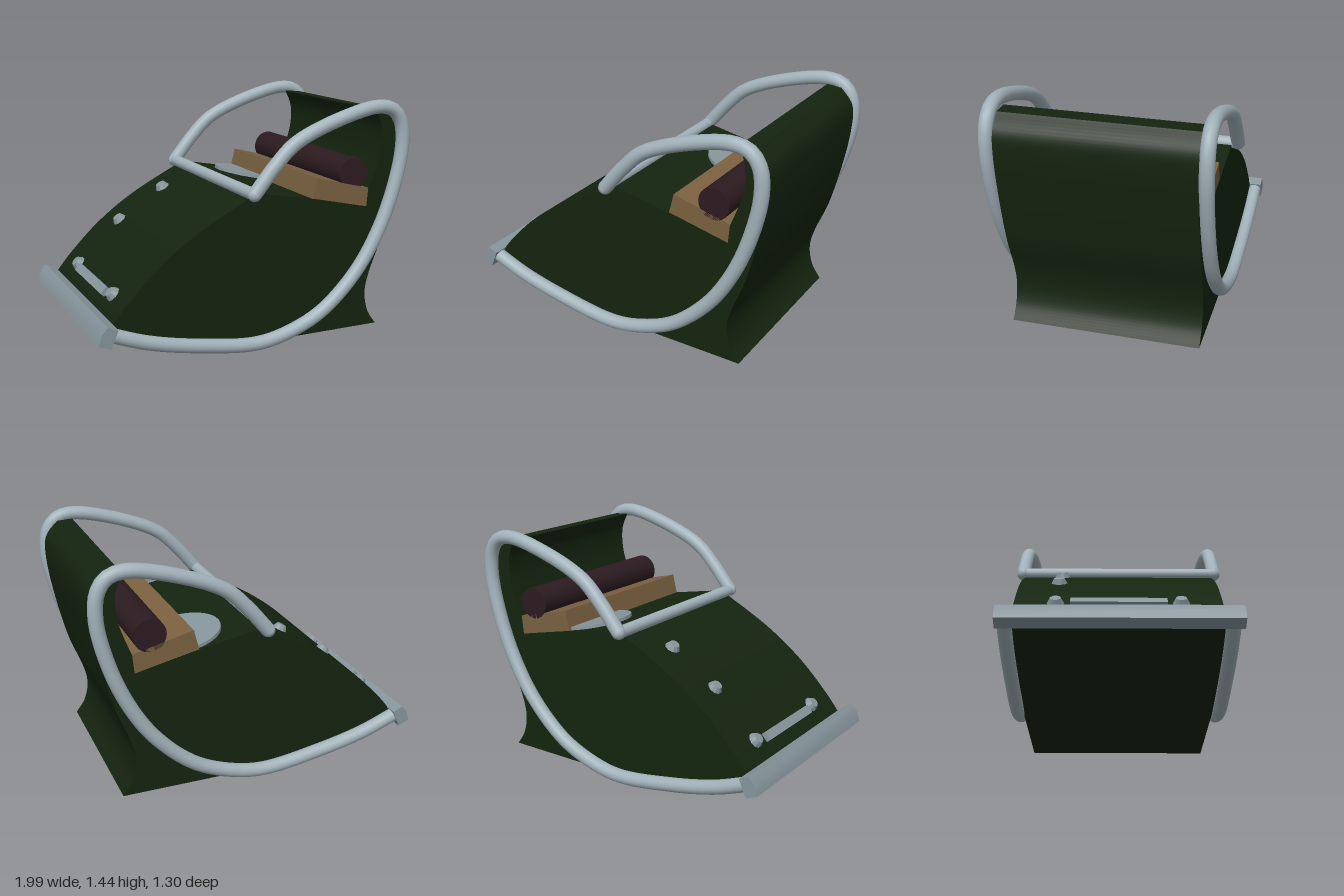
import * as THREE from 'three';
import { toCreasedNormals } from 'three/addons/utils/BufferGeometryUtils.js';

const paint = (color) => new THREE.MeshStandardMaterial({ color });
const green = paint(0x14240f), steel = paint(0xa2b2ba), plate = paint(0x87969d);
const wood = paint(0x7a6140), maroon = paint(0x2c1b20);

// z limits of the body and the two side rails
const BACK = -0.575, FRONT = 0.55, RAIL_BACK = -0.61, RAIL_FRONT = 0.592;

export function createModel() {
  const model = new THREE.Group();
  const add = (name, geometry, material, x = 0, y = 0, z = 0, tilt = 0) => {
    const mesh = new THREE.Mesh(geometry, material);
    mesh.name = name;
    mesh.position.set(x, y, z);
    mesh.rotation.z = tilt;
    model.add(mesh);
    return mesh;
  };
  const vectors = (points) => points.map(([x, y]) => new THREE.Vector2(x, y));
  const prism = (shape, z0, z1) => {
    const g = new THREE.ExtrudeGeometry(shape, { depth: z1 - z0, bevelEnabled: false, curveSegments: 6 });
    return toCreasedNormals(g.translate(0, 0, z0), 0.5);
  };

  // Body: curved front, seat, raised backrest and flared foot
  const side = new THREE.Shape();
  side.moveTo(-0.91, 0.25);
  side.splineThru(vectors([[-0.8, 0.385], [-0.6, 0.58], [-0.35, 0.757], [0, 0.94]]));
  side.lineTo(0.4, 0.865);
  side.lineTo(0.74, 0.79);
  side.lineTo(0.75, 0.9);
  side.splineThru(vectors([[0.82, 1.1], [0.83, 1.26], [0.785, 1.375]]));
  side.lineTo(0.88, 1.37);
  side.splineThru(vectors([[0.955, 1.28], [0.965, 1.14], [0.93, 0.9], [0.86, 0.6],
    [0.775, 0.37], [0.75, 0.24], [0.775, 0.12], [0.835, 0.03]]));
  side.lineTo(0, 0.03);
  side.splineThru(vectors([[-0.4, 0.085], [-0.7, 0.15], [-0.91, 0.23]]));
  side.closePath();
  add('body', prism(side, BACK, FRONT), green);

  // Side rails: one bent tube at each side
  const path = [[-0.93, 0.245], [-0.7, 0.16], [-0.4, 0.092], [-0.02, 0.045], [0.2, 0.085], [0.42, 0.185],
    [0.65, 0.4], [0.8, 0.64], [0.9, 0.9], [0.95, 1.15], [0.935, 1.3], [0.88, 1.375], [0.78, 1.4],
    [0.52, 1.345], [0.22, 1.22], [0.09, 1.1], [-0.04, 0.945]];
  const railCurve = new THREE.CatmullRomCurve3(path.map(([x, y]) => new THREE.Vector3(x, y, 0)));
  for (const [label, z] of [['Front', RAIL_FRONT], ['Back', RAIL_BACK]]) {
    add('rail' + label, new THREE.TubeGeometry(railCurve, 90, 0.042, 16), steel, 0, 0, z);
    add('railCorner' + label, new THREE.SphereGeometry(0.041, 16, 12), steel, -0.042, 0.942, z);
  }

  // Cross bar joining the upper rail ends
  add('crossBar', new THREE.CylinderGeometry(0.036, 0.036, RAIL_FRONT - RAIL_BACK, 16), steel,
    -0.042, 0.942, (RAIL_FRONT + RAIL_BACK) / 2).rotation.x = Math.PI / 2;

  // Lip along the low edge
  const lip = new THREE.Shape(vectors([[-1, 0.205], [-0.93, 0.175], [-0.885, 0.28], [-0.945, 0.305], [-0.98, 0.265]]));
  add('lowerLip', prism(lip, -0.655, 0.645), plate);

  // Seat board with a roll lying on it
  const width = FRONT - BACK - 0.005, middle = (FRONT + BACK) / 2;
  add('board', new THREE.BoxGeometry(0.405, 0.147, width), wood, 0.57, 0.873, middle, -0.245);
  add('roll', new THREE.CylinderGeometry(0.096, 0.096, width, 32), maroon, 0.645, 1, middle).rotation.x = Math.PI / 2;

  // Round plate on the seat slope
  add('roundPlate', new THREE.CylinderGeometry(0.235, 0.235, 0.02, 48), plate, 0.38, 0.879, -0.32, -0.187);

  // Studs and strip on the curved front
  const stud = () => toCreasedNormals(new THREE.CylinderGeometry(0.03, 0.054, 0.045, 10), 0.5);
  for (const [x, y, z, tilt] of [[-0.815, 0.383, -0.35, 0.85], [-0.815, 0.383, 0.325, 0.85],
    [-0.535, 0.64, -0.35, 0.63], [-0.24, 0.828, -0.35, 0.53]]) {
    add('stud', stud(), plate, x, y, z, tilt);
  }
  add('strip', new THREE.BoxGeometry(0.055, 0.04, 0.52), plate, -0.825, 0.37, -0.01, 0.85);

  return model;
}
